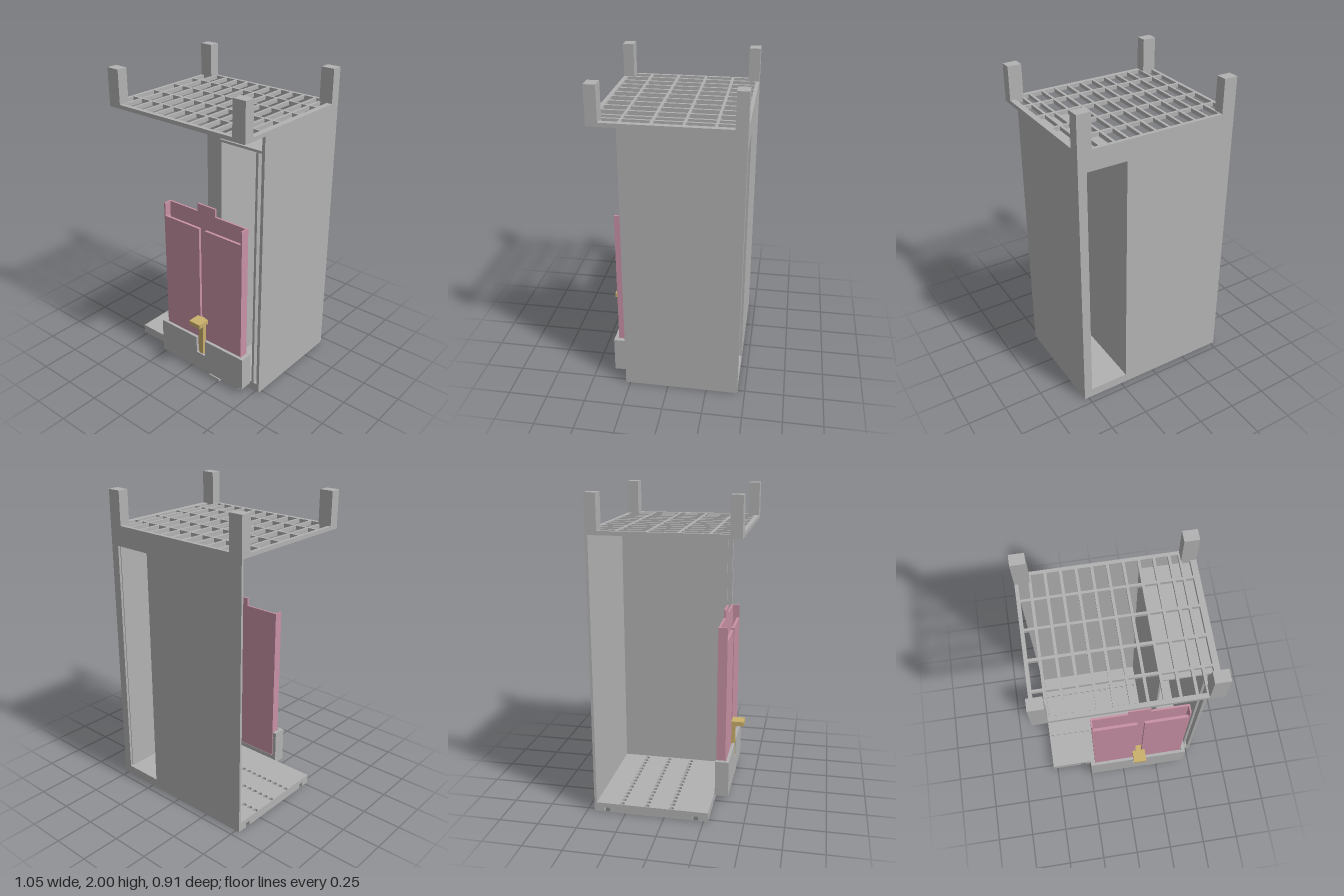
import * as THREE from 'three';

const grey = new THREE.MeshStandardMaterial({ color: 0xb2b2b2 });
grey.name = 'grey plastic';
const pink = new THREE.MeshStandardMaterial({ color: 0xc891a5 });
pink.name = 'pink plastic';
const gold = new THREE.MeshStandardMaterial({ color: 0xc9b06c });
gold.name = 'gold plastic';

// Box given by its extents
function box(parent, name, mat, x0, x1, y0, y1, z0, z1) {
  const m = new THREE.Mesh(new THREE.BoxGeometry(x1 - x0, y1 - y0, z1 - z0), mat);
  m.position.set((x0 + x1) / 2, (y0 + y1) / 2, (z0 + z1) / 2);
  m.name = name;
  parent.add(m);
  return m;
}

const shapeOf = (pts) => new THREE.Shape(pts.map(([x, y]) => new THREE.Vector2(x, y)));
const rect = (x0, x1, y0, y1) => shapeOf([[x0, y0], [x1, y0], [x1, y1], [x0, y1]]);

// Upright plate: outline in x, y
function upright(parent, name, mat, shape, z0, z1) {
  const g = new THREE.ExtrudeGeometry(shape, { depth: z1 - z0, bevelEnabled: false });
  const m = new THREE.Mesh(g, mat);
  m.position.z = z0;
  m.name = name;
  parent.add(m);
}

// Level plate: outline in x, -z
function level(parent, name, mat, shape, y0, y1) {
  const g = new THREE.ExtrudeGeometry(shape, { depth: y1 - y0, bevelEnabled: false, curveSegments: 5 });
  g.rotateX(-Math.PI / 2);
  const m = new THREE.Mesh(g, mat);
  m.position.y = y0;
  m.name = name;
  parent.add(m);
}

const X = 0.527, ZB = -0.453, ZF = 0.278, ZT = 0.453, TOP = 1.785;

function buildBase(root) {
  const base = new THREE.Group();
  base.name = 'base';
  root.add(base);

  // Bottom layer with T-shaped connector notches on the front and left-hand edges
  const outline = [[-X, -ZF]];
  const f = -0.302;
  outline.push([f - 0.017, -ZF], [f - 0.017, -ZF + 0.03], [f - 0.043, -ZF + 0.03], [f - 0.043, -ZF + 0.065],
    [f + 0.043, -ZF + 0.065], [f + 0.043, -ZF + 0.03], [f + 0.017, -ZF + 0.03], [f + 0.017, -ZF]);
  outline.push([X, -ZF], [X, -ZB], [-X, -ZB]);
  for (const c of [0.37, -0.2]) {
    outline.push([-X, c + 0.017], [-X + 0.03, c + 0.017], [-X + 0.03, c + 0.04], [-X + 0.06, c + 0.04],
      [-X + 0.06, c - 0.04], [-X + 0.03, c - 0.04], [-X + 0.03, c - 0.017], [-X, c - 0.017]);
  }
  level(base, 'notchedLayer', grey, shapeOf(outline), 0, 0.03);
  box(base, 'middleLayer', grey, -X, X, 0.03, 0.042, ZB, ZF);

  // Top layer with rows of round sockets
  const floor = rect(-X, X, -ZF, -ZB);
  for (const z of [-0.275, -0.115, 0.043]) {
    for (let i = 0; i < 16; i++) {
      const p = new THREE.Path();
      p.absarc(-0.509 + i * 0.0453, -z, 0.0165, 0, Math.PI * 2, true);
      floor.holes.push(p);
    }
  }
  level(base, 'socketLayer', grey, floor, 0.042, 0.06);

  // Front connector tab
  box(base, 'tabNeck', grey, 0.197, 0.233, 0, 0.02, ZF, 0.325);
  box(base, 'tabHead', grey, 0.172, 0.258, 0, 0.02, 0.325, 0.36);
}

function buildWalls(root) {
  const walls = new THREE.Group();
  walls.name = 'walls';
  root.add(walls);
  const back = rect(-X, X, 0.06, 1.76);
  back.holes.push(rect(0.214, 0.472, 0.061, 1.655));
  upright(walls, 'backWall', grey, back, ZB, ZB + 0.016);
  box(walls, 'sideWall', grey, 0.507, X, 0.06, 1.76, ZB, ZF);

  // Side compartment
  box(walls, 'compartmentPartition', grey, 0.203, 0.214, 0.06, 1.67, ZB + 0.016, ZF);
  box(walls, 'compartmentCeiling', grey, 0.203, 0.507, 1.655, 1.67, ZB + 0.016, ZF);
  box(walls, 'compartmentInnerWall', grey, 0.467, 0.483, 0.06, 1.655, ZB + 0.016, ZF);
}

function buildRoof(root) {
  const roof = new THREE.Group();
  roof.name = 'roof';
  root.add(roof);

  // Open grille
  const bars = [-0.4375, -0.347, -0.257, -0.167, -0.0765, 0.0145, 0.107, 0.1975, 0.286, 0.376, 0.436];
  const cols = [-0.505, ...bars.flatMap((b) => [b - 0.0085, b + 0.0085]), 0.49];
  const rows = [[-0.43, -0.283], [-0.267, -0.103], [-0.087, 0.08], [0.098, 0.262], [0.278, 0.425]];
  const grille = rect(-X, X, -ZT, ZT);
  for (let c = 0; c < cols.length; c += 2) {
    for (const [z0, z1] of rows) grille.holes.push(rect(cols[c], cols[c + 1], -z1, -z0));
  }
  level(roof, 'grille', grey, grille, 1.76, TOP);

  // Corner posts
  for (const sx of [-1, 1]) {
    for (const sz of [-1, 1]) {
      const x = sx * (X - 0.0445), z = sz * (ZT - 0.035);
      box(roof, 'cornerPost', grey, x - 0.0445, x + 0.0445, 1.76, 2, z - 0.035, z + 0.035);
    }
  }
}

function buildHolder(root) {
  const holder = new THREE.Group();
  holder.name = 'frontHolder';
  root.add(holder);
  const front = shapeOf([[-0.243, 0.035], [0.43, 0.035], [0.43, 0.045], [0.457, 0.045], [0.457, 0.275],
    [0.143, 0.275], [0.143, 0.158], [0.07, 0.158], [0.07, 0.275], [-0.243, 0.275]]);
  upright(holder, 'holderFront', grey, front, 0.346, 0.366);
  box(holder, 'holderSideLeft', grey, 0.43, 0.457, 0.045, 0.275, ZF, 0.346);
  box(holder, 'holderSideRight', grey, -0.243, -0.217, 0.035, 0.275, ZF, 0.346);
  box(holder, 'holderFloor', grey, -0.217, 0.43, 0.035, 0.09, ZF, 0.346);
}

function buildTray(root) {
  const tray = new THREE.Group();
  tray.name = 'slidingTray';
  root.add(tray);
  const L = -0.21, R = 0.423, B = 0.09, T = 1.165;
  // Back plate with raised pull tab
  const back = shapeOf([[L, B], [R, B], [R, T], [0.175, T], [0.175, 1.218], [0.032, 1.218], [0.032, T], [L, T]]);
  upright(tray, 'trayBack', pink, back, 0.281, 0.294);
  box(tray, 'trayRimRight', pink, L, L + 0.01, B, T, 0.294, 0.34);
  box(tray, 'trayRimLeft', pink, R - 0.01, R, B, T, 0.294, 0.34);
  box(tray, 'trayFloor', pink, L + 0.01, R - 0.01, B, 0.158, 0.294, 0.34);
  // Front panels either side of the slide slot
  box(tray, 'trayPanelRight', pink, L + 0.01, 0.084, 0.158, 1.075, 0.322, 0.34);
  box(tray, 'trayPanelLeft', pink, 0.13, R - 0.01, 0.158, 1.075, 0.322, 0.34);
}

function buildSlider(root) {
  const slider = new THREE.Group();
  slider.name = 'slider';
  root.add(slider);
  box(slider, 'sliderPlate', gold, -0.197, 0.408, 0.165, 0.4, 0.297, 0.319);
  box(slider, 'sliderStem', gold, 0.09, 0.125, 0.165, 0.405, 0.319, 0.364);
  box(slider, 'sliderHandle', gold, 0.063, 0.151, 0.405, 0.435, 0.341, 0.425);
}

export function createModel() {
  const root = new THREE.Group();
  root.name = 'dispenserCabinet';
  for (const build of [buildBase, buildWalls, buildRoof, buildHolder, buildTray, buildSlider]) build(root);
  return root;
}
